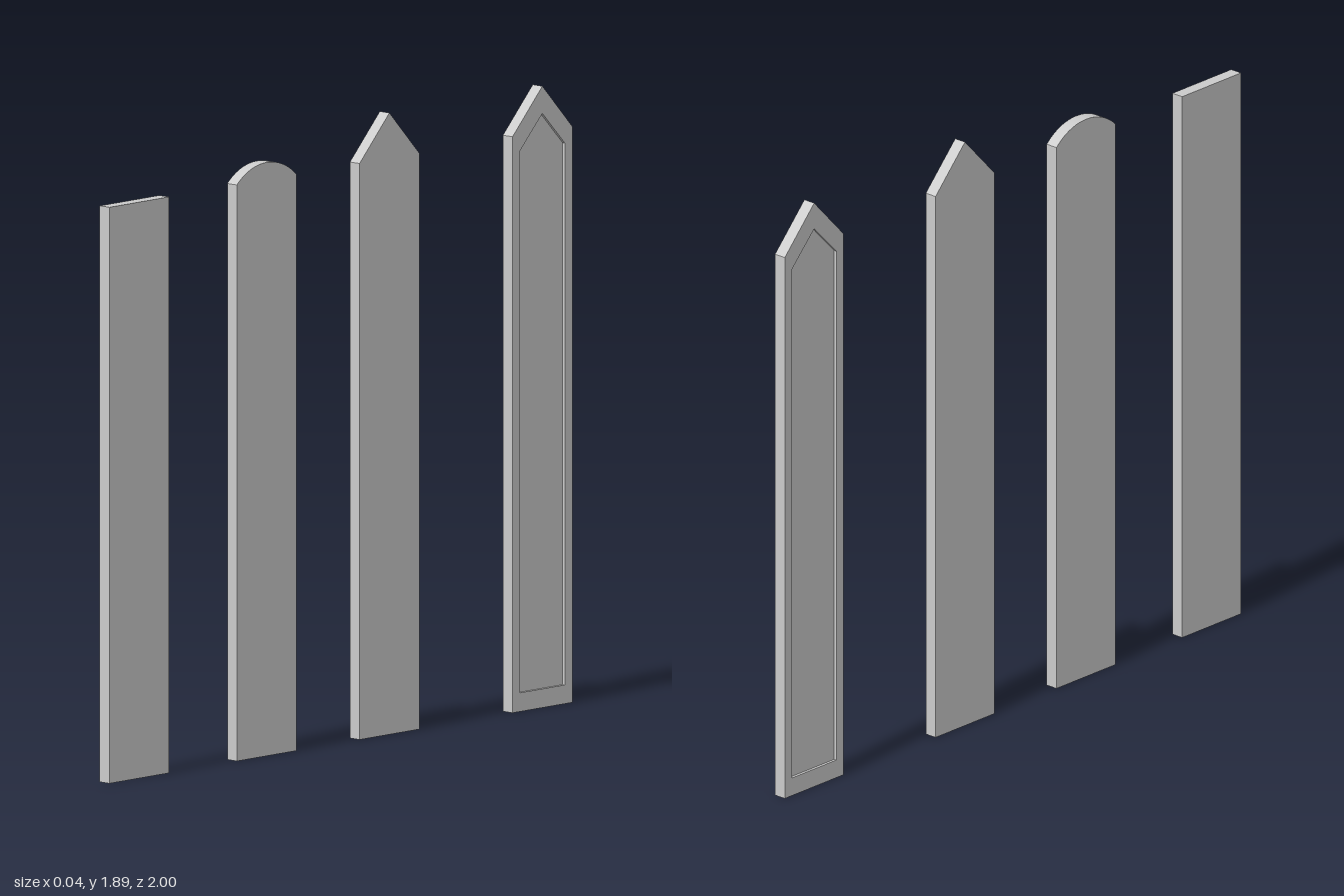
import * as THREE from 'three';
import { toCreasedNormals } from 'three/addons/utils/BufferGeometryUtils.js';

const HALF = 0.129;       // half width of a board
const THICK = 0.04;       // board thickness
const SHOULDER = 1.75;    // height where the shaped top begins
const RECESS = 0.009;     // depth of the sunk panel on each face

const material = new THREE.MeshStandardMaterial({ color: 0xcccccc });

const outline = (points) => new THREE.Shape(points.map(([x, y]) => new THREE.Vector2(x, y)));

// Pointed outline: straight sides with a gable top
const pointed = (half, bottom, shoulder, tip) =>
  outline([[-half, bottom], [half, bottom], [half, shoulder], [0, tip], [-half, shoulder]]);

// Straight sides with a shallow circular arc on top
function rounded(rise) {
  const radius = (HALF * HALF + rise * rise) / (2 * rise);
  const angle = Math.asin(HALF / radius);
  const shape = new THREE.Shape();
  shape.moveTo(-HALF, 0);
  shape.lineTo(HALF, 0);
  shape.lineTo(HALF, SHOULDER);
  shape.absarc(0, SHOULDER + rise - radius, radius, Math.PI / 2 - angle, Math.PI / 2 + angle, false);
  return shape;
}

// Extrude an outline into a board whose width runs along z
function board(name, shape) {
  const geometry = new THREE.ExtrudeGeometry(shape, { depth: THICK, bevelEnabled: false, curveSegments: 24 });
  geometry.translate(0, 0, -THICK / 2).rotateY(-Math.PI / 2);
  const mesh = new THREE.Mesh(toCreasedNormals(geometry, 0.5), material);
  mesh.name = name;
  return mesh;
}

// Pointed board with a sunk panel on both faces
function panelledBoard() {
  const group = new THREE.Group();
  group.name = 'panelledBoard';
  const panel = pointed(0.097, 0.057, 1.703, 1.805);
  const frame = pointed(HALF, 0, SHOULDER, 1.888);
  frame.holes.push(new THREE.Path(panel.getPoints()));
  group.add(board('panelFrame', frame));
  for (const side of [-1, 1]) {
    const face = new THREE.Mesh(new THREE.ShapeGeometry(panel), material);
    face.name = side > 0 ? 'leftPanel' : 'rightPanel';
    face.rotation.y = side * Math.PI / 2;
    face.position.x = side * (THICK / 2 - RECESS);
    group.add(face);
  }
  return group;
}

export function createModel() {
  const model = new THREE.Group();
  model.name = 'fenceBoards';
  const boards = [
    board('flatBoard', outline([[-HALF, 0], [HALF, 0], [HALF, SHOULDER], [-HALF, SHOULDER]])),
    board('roundedBoard', rounded(0.053)),
    board('pointedBoard', pointed(HALF, 0, SHOULDER, 1.888)),
    panelledBoard(),
  ];
  const positions = [0.871, 0.32, -0.21, -0.871];
  boards.forEach((part, i) => {
    part.position.z = positions[i];
    model.add(part);
  });
  return model;
}
